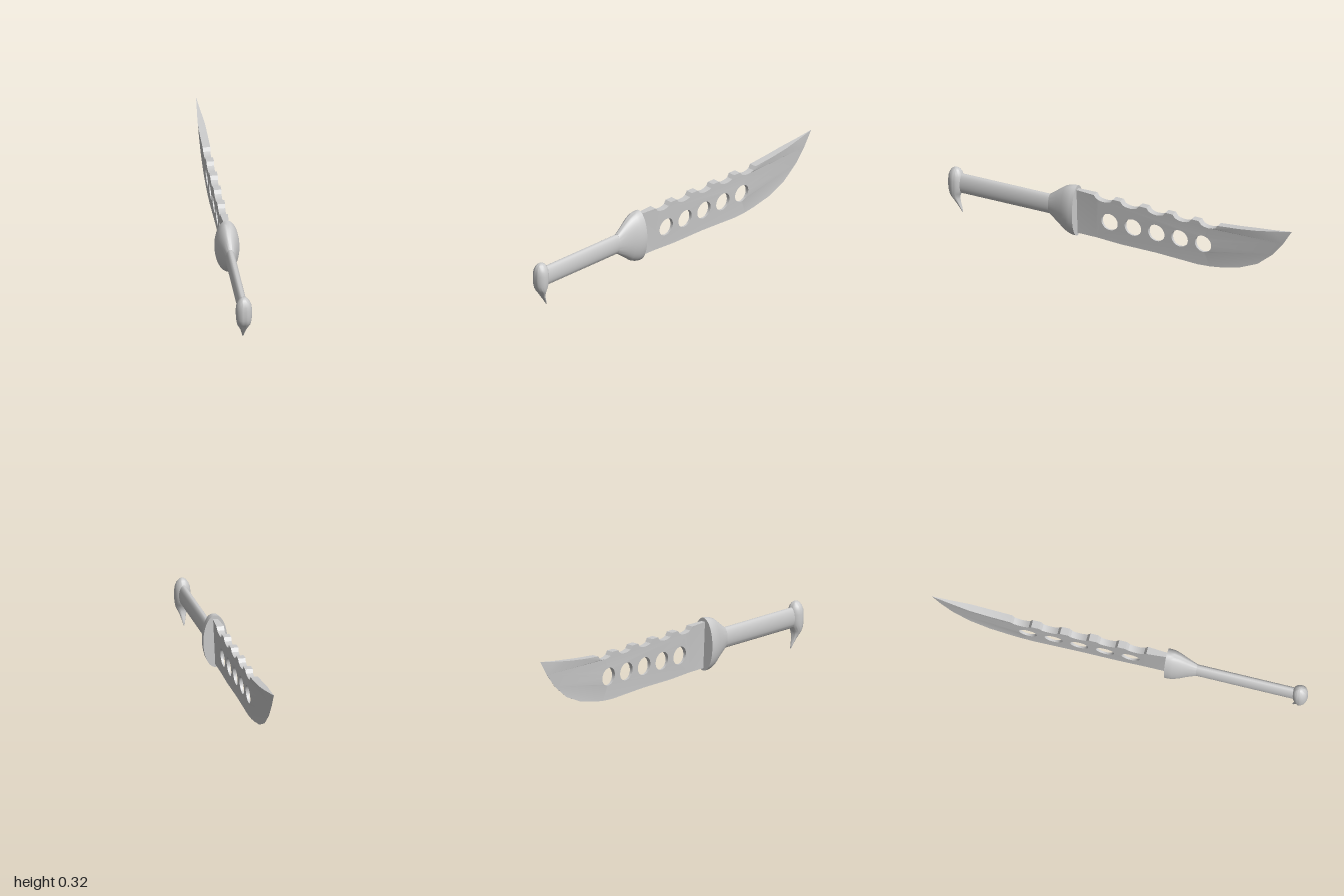
import * as THREE from 'three';
import { toCreasedNormals } from 'three/addons/utils/BufferGeometryUtils.js';

const material = new THREE.MeshStandardMaterial({ color: 0xcccccc, side: THREE.DoubleSide });

function addMesh(group, name, geometry) {
  const mesh = new THREE.Mesh(geometry, material);
  mesh.name = name;
  group.add(mesh);
}

// Skin over elliptical rings; place(section, cos, sin) gives a point on a ring
function loft(sections, place, sides = 32) {
  const positions = [], index = [];
  sections.forEach((s, i) => {
    for (let j = 0; j < sides; j++) {
      const t = (j / sides) * Math.PI * 2;
      positions.push(...place(s, Math.cos(t), Math.sin(t)));
      if (i === sections.length - 1) continue;
      const a = i * sides + j, b = i * sides + (j + 1) % sides;
      index.push(a, b, a + sides, b, b + sides, a + sides);
    }
  });
  const geometry = new THREE.BufferGeometry();
  geometry.setAttribute('position', new THREE.Float32BufferAttribute(positions, 3));
  geometry.setIndex(index);
  return toCreasedNormals(geometry, 0.7);
}

// Sections [z, centre y, half width, half height] along the length
const alongZ = ([z, cy, rx, ry], c, s) => [rx * c, cy + ry * s, z];
// Sections [y, centre z, half depth, half width] upward
const alongY = ([y, cz, rz, rx], c, s) => [rx * s, y, cz + rz * c];

// Linear lookup in points [z, y] ordered by falling z
function sample(points, z) {
  for (let i = 1; i < points.length; i++) {
    const [z0, y0] = points[i - 1], [z1, y1] = points[i];
    if (z >= z1) return y0 + (y1 - y0) * Math.min(1, Math.max(0, (z0 - z) / (z0 - z1)));
  }
  return points[points.length - 1][1];
}

const SPINE = [[0.26, 0.286], [-0.58, 0.272], [-0.7, 0.282], [-0.8, 0.294], [-0.9, 0.308], [-1, 0.325]];
const EDGE = [[0.26, 0.036], [0.14, 0.035], [0, 0.027], [-0.21, 0.026], [-0.45, 0.015], [-0.52, 0.019],
  [-0.58, 0.027], [-0.69, 0.05], [-0.8, 0.097], [-0.89, 0.171], [-0.95, 0.245], [-1, 0.325]];

function bladeGeometry() {
  // Outline: notched spine out to the tip, then the cutting edge back
  const outline = [SPINE[0]];
  for (let i = 0; i < 5; i++) {
    const centre = 0.09 - 0.153 * i;
    for (let k = 0; k <= 8; k++) {
      const u = k / 4 - 1;
      const z = centre - 0.055 * u;
      outline.push([z, sample(SPINE, z) - 0.028 * Math.sqrt(1 - u * u)]);
    }
  }
  outline.push(...SPINE.slice(1), ...EDGE.slice(0, -1).reverse());
  const shape = new THREE.Shape(outline.map(([z, y]) => new THREE.Vector2(z, y)));
  for (let i = 0; i < 5; i++) {
    const hole = new THREE.Path();
    hole.absarc(0.059 - 0.1365 * i, 0.144, 0.048, 0, Math.PI * 2, true);
    shape.holes.push(hole);
  }
  const geometry = new THREE.ExtrudeGeometry(shape, { depth: 1, bevelEnabled: false, curveSegments: 16 });

  // Thin the slab from spine to edge, towards the tip and beside the guard
  const p = geometry.attributes.position;
  for (let i = 0; i < p.count; i++) {
    const z = p.getX(i), y = p.getY(i), side = 1 - 2 * p.getZ(i);
    const low = sample(EDGE, z), high = sample(SPINE, z);
    const rise = high - low > 0.001 ? (y - low) / (high - low) : 0;
    const tip = Math.min(1, (z + 1) / 0.22);
    const root = z > 0.15 ? 1 - 0.4 * (z - 0.15) / 0.11 : 1;
    p.setXYZ(i, side * Math.max(0.0005, 0.02 * rise * tip * root), y, z);
  }
  return toCreasedNormals(geometry, 0.5);
}

export function createModel() {
  const knife = new THREE.Group();
  knife.name = 'knife';

  addMesh(knife, 'blade', bladeGeometry());

  // Oval grip
  addMesh(knife, 'handle', loft([[0.39, 0.167, 0.025, 0.055], [0.95, 0.167, 0.025, 0.055]], alongZ));

  // Flared guard with a flat face towards the blade
  addMesh(knife, 'guard', loft([
    [0.25, 0.164, 0, 0], [0.25, 0.164, 0.064, 0.142], [0.27, 0.164, 0.064, 0.141],
    [0.29, 0.165, 0.062, 0.137], [0.32, 0.166, 0.053, 0.124], [0.36, 0.167, 0.039, 0.093],
    [0.41, 0.167, 0.025, 0.056], [0.41, 0.167, 0, 0],
  ], alongZ, 40));

  // Rounded pommel drawn down into a hooked spur
  addMesh(knife, 'pommel', loft([
    [0, 0.92, 0, 0], [0.008, 0.922, 0.003, 0.004], [0.03, 0.932, 0.007, 0.009],
    [0.055, 0.945, 0.011, 0.016], [0.075, 0.953, 0.015, 0.025], [0.092, 0.959, 0.021, 0.034],
    [0.11, 0.96, 0.032, 0.038], [0.13, 0.959, 0.038, 0.041], [0.155, 0.959, 0.041, 0.042],
    [0.185, 0.959, 0.041, 0.042], [0.208, 0.959, 0.039, 0.039], [0.228, 0.959, 0.033, 0.031],
    [0.242, 0.959, 0.023, 0.02], [0.25, 0.959, 0.011, 0.009], [0.253, 0.959, 0, 0],
  ], alongY));

  return knife;
}
